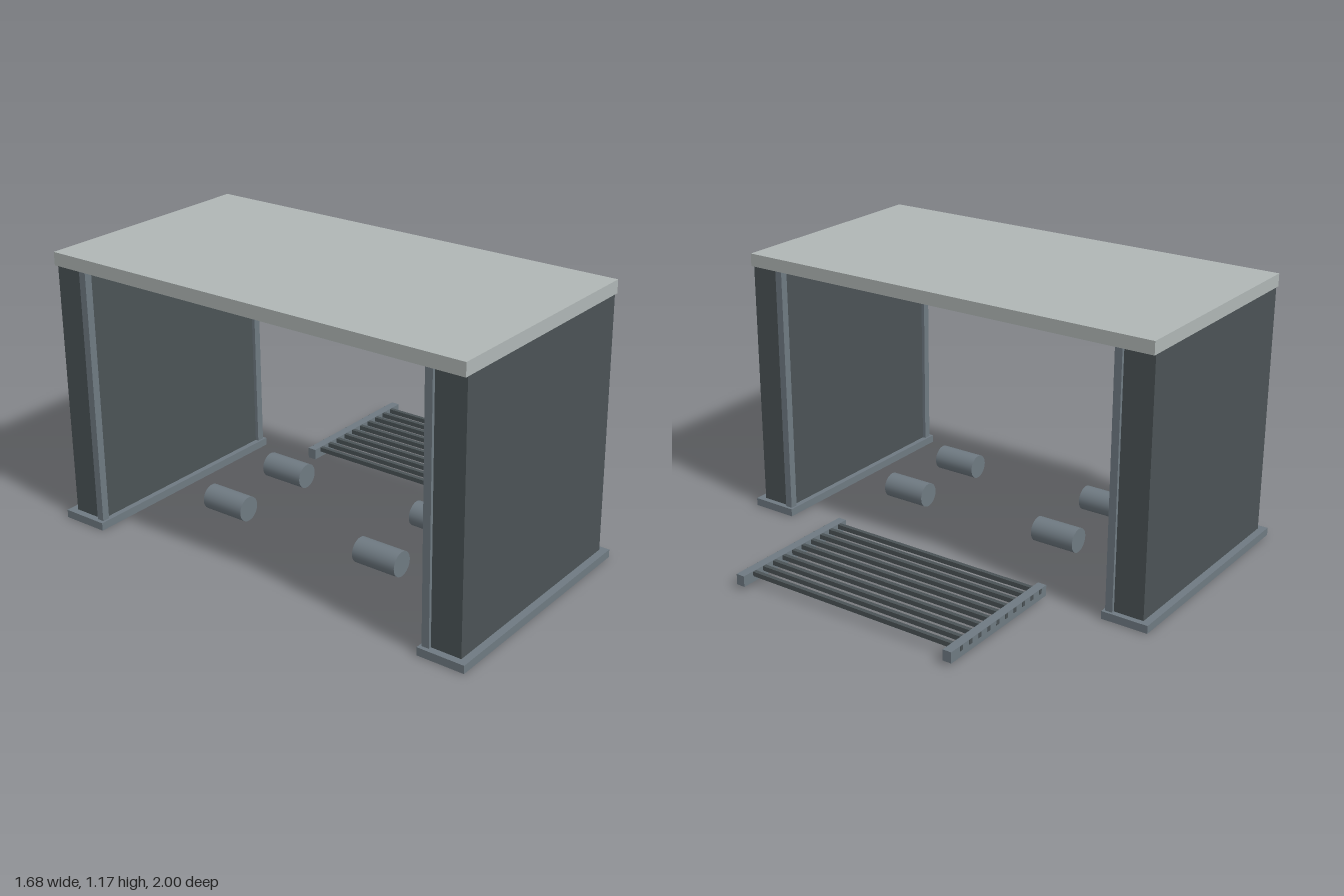
import * as THREE from 'three';

export function createModel() {
  const model = new THREE.Group();
  model.name = 'rollerTunnel';

  const material = (name, color) => {
    const m = new THREE.MeshStandardMaterial({ color });
    m.name = name;
    return m;
  };
  const lightGrey = material('light grey', 0xb0b7b6);
  const darkGrey = material('dark grey', 0x4b5356);
  const steel = material('steel grey', 0x6f7a82);

  // Box given by its minimum and maximum corners
  const box = (parent, name, mat, [x0, y0, z0], [x1, y1, z1]) => {
    const mesh = new THREE.Mesh(new THREE.BoxGeometry(x1 - x0, y1 - y0, z1 - z0), mat);
    mesh.position.set((x0 + x1) / 2, (y0 + y1) / 2, (z0 + z1) / 2);
    mesh.name = name;
    parent.add(mesh);
  };

  // Roof slab
  box(model, 'roof', lightGrey, [-0.825, 1.12, -0.97], [0.2, 1.175, 0.97]);

  for (const side of [1, -1]) {
    // Box mirrored to the front or the back
    const sideBox = (parent, name, mat, [x0, y0, z0], [x1, y1, z1]) =>
      box(parent, name, mat,
        [x0, y0, side > 0 ? z0 : -z1], [x1, y1, side > 0 ? z1 : -z0]);

    // End wall standing in its base plinth, with two posts on the inner corners
    const end = new THREE.Group();
    end.name = side > 0 ? 'frontEnd' : 'backEnd';
    sideBox(end, 'wallPanel', darkGrey, [-0.81, 0, 0.82], [0.185, 1.145, 0.968]);
    sideBox(end, 'basePlinth', steel, [-0.84, 0.002, 0.795], [0.21, 0.036, 1]);
    sideBox(end, 'post', steel, [-0.823, 0.03, 0.805], [-0.79, 1.145, 0.837]);
    sideBox(end, 'post', steel, [0.165, 0.03, 0.805], [0.198, 1.145, 0.837]);
    model.add(end);

    // Pair of rollers inside the tunnel
    for (const x of [-0.5, -0.12]) {
      const roller = new THREE.Mesh(new THREE.CylinderGeometry(0.053, 0.053, 0.2, 28), steel);
      roller.rotation.x = Math.PI / 2;
      roller.position.set(x, 0.118, side * 0.386);
      roller.name = 'roller';
      model.add(roller);
    }

    // Side rail of the outfeed rack
    sideBox(model, 'rackRail', steel, [0.197, 0.016, 0.494], [0.84, 0.063, 0.533]);
  }

  // Cross bars of the outfeed rack, running through both rails
  for (let i = 0; i < 10; i++) {
    const x = 0.242 + i * 0.0594;
    box(model, 'rackBar', darkGrey, [x - 0.009, 0.042, -0.535], [x + 0.009, 0.062, 0.535]);
  }

  return model;
}
